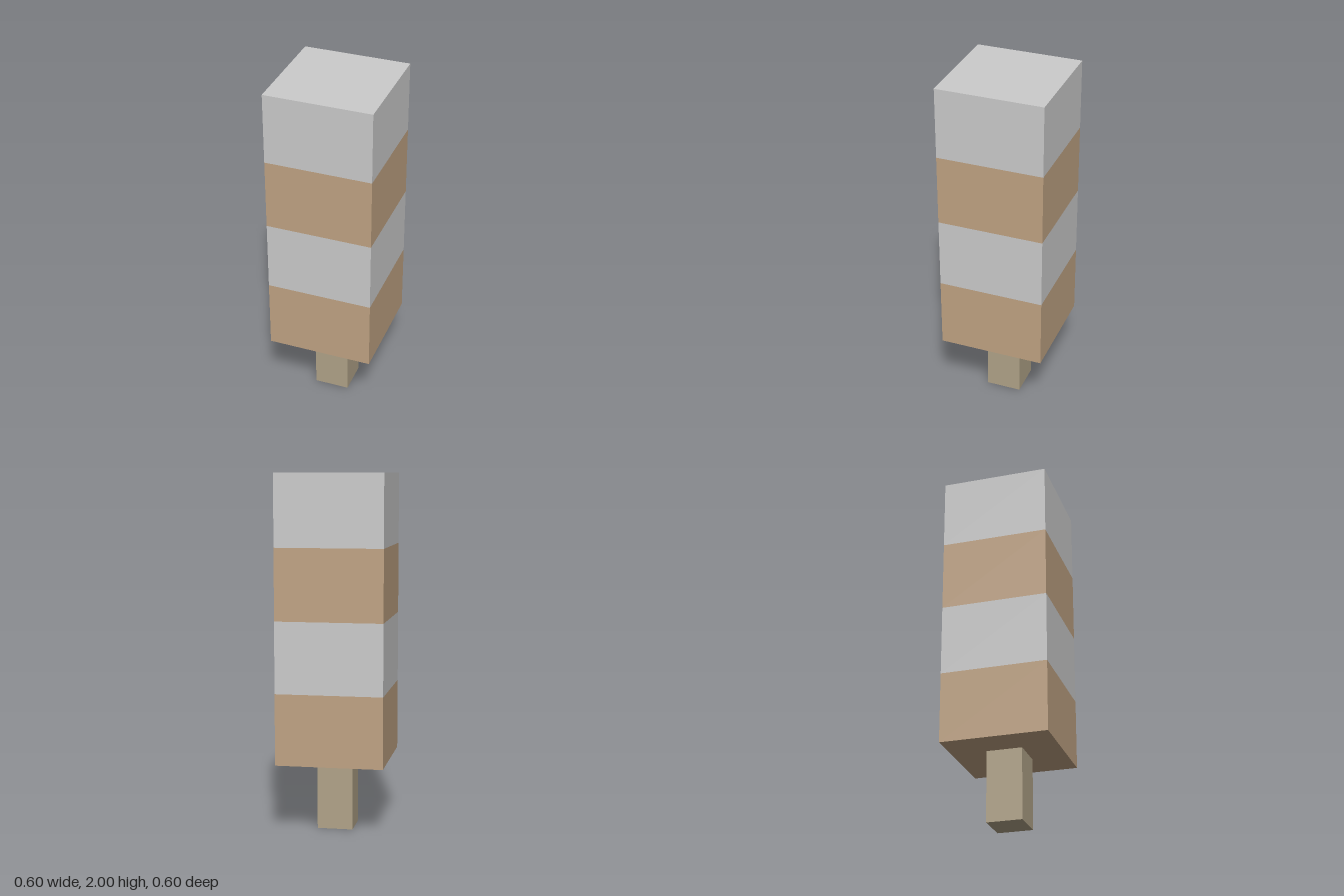
import * as THREE from 'three';

export function createModel() {
  const model = new THREE.Group();
  model.name = 'stripedBlockOnStick';

  const grey = new THREE.MeshStandardMaterial({ color: 0xcccccc });
  const brown = new THREE.MeshStandardMaterial({ color: 0xc0a383 });
  const wood = new THREE.MeshStandardMaterial({ color: 0xb1a388 });

  // Square block of the given width, standing on the given height
  const addBlock = (name, width, height, bottom, material) => {
    const mesh = new THREE.Mesh(new THREE.BoxGeometry(width, height, width), material);
    mesh.name = name;
    mesh.position.y = bottom + height / 2;
    model.add(mesh);
  };

  // Stick
  addBlock('stick', 0.2, 0.4, 0, wood);

  // Four stacked bands, alternating brown and grey
  const bandHeight = 0.4;
  for (let i = 0; i < 4; i++) {
    addBlock(`band${i + 1}`, 0.6, bandHeight, 0.4 + i * bandHeight, i % 2 ? grey : brown);
  }

  return model;
}
